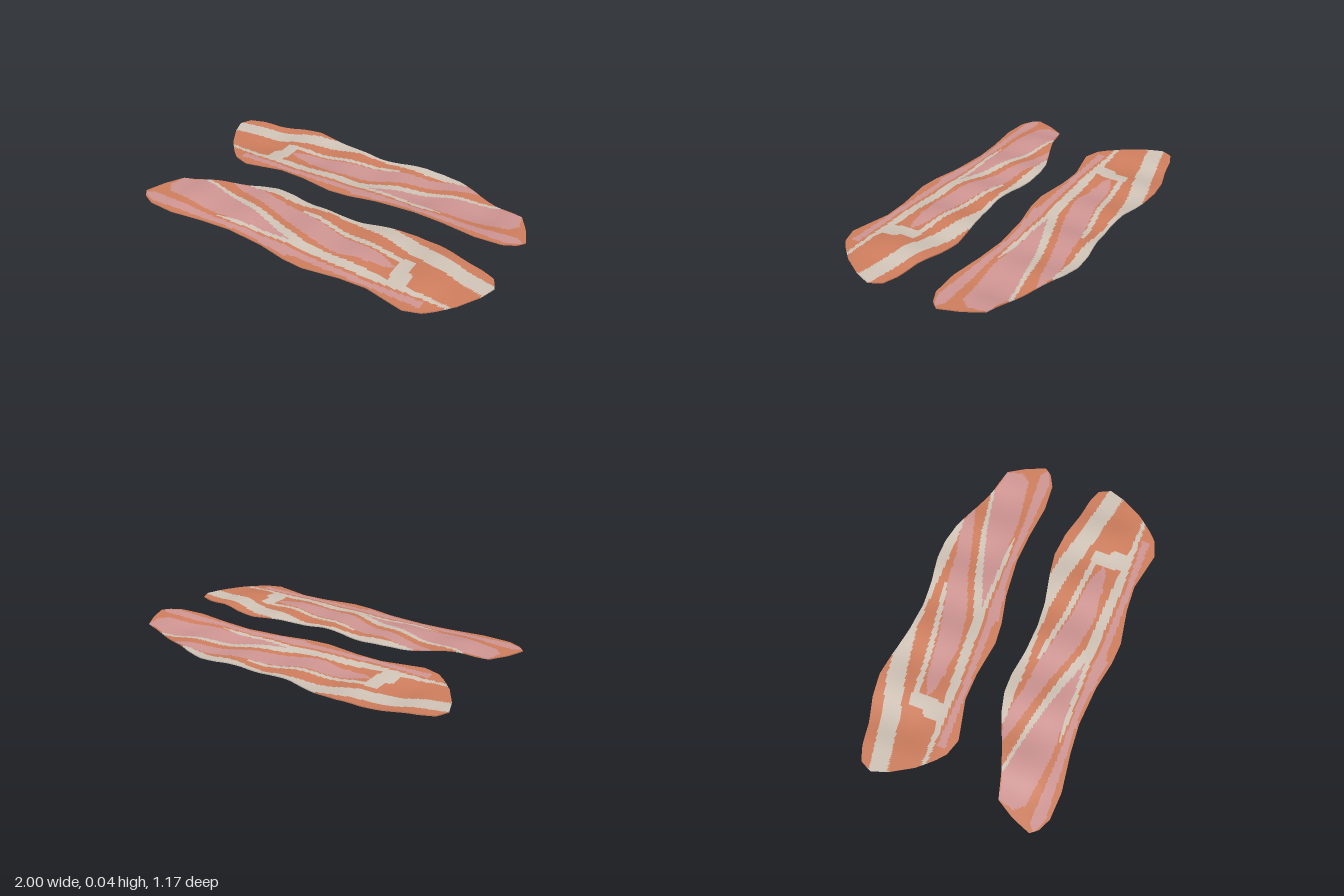
import * as THREE from 'three';

const NX = 180, NZ = 48, THICK = 0.006;

// Edges of one strip as [x, z] points from left tip to right tip
const backEdge = [[-1, -.42], [-.97, -.485], [-.89, -.515], [-.77, -.535], [-.63, -.575], [-.5, -.59], [-.38, -.575],
  [-.2, -.54], [-.05, -.53], [.1, -.54], [.25, -.565], [.36, -.565], [.47, -.54], [.63, -.475], [.75, -.43],
  [.9, -.39], [.96, -.29], [1, -.185]];
const frontEdge = [[-1, -.42], [-.97, -.33], [-.9, -.21], [-.83, -.13], [-.78, -.085], [-.69, -.055], [-.6, -.075],
  [-.47, -.105], [-.32, -.1], [-.12, -.07], [0, -.08], [.16, -.115], [.38, -.135], [.55, -.125], [.75, -.1],
  [.9, -.11], [.97, -.145], [1, -.185]];

// Fat streaks
const fat = [
  [[-1.05, -.32], [-.98, -.335], [-.67, -.4], [-.4, -.47], [-.2, -.505], [-.02, -.51], [.25, -.505], [.53, -.51],
    [.47, -.56], [.3, -.65], [-.35, -.65], [-.37, -.57], [-.5, -.55], [-.67, -.5], [-.85, -.46], [-1.05, -.42]],
  [[-.6, -.38], [-.4, -.395], [-.18, -.42], [.12, -.475], [.12, -.45], [-.18, -.39], [-.52, -.35], [-.53, -.2],
    [-.63, -.2], [-.63, -.28], [-.6, -.3]],
  [[-.92, -.185], [-.62, -.2], [-.45, -.215], [-.02, -.24], [.2, -.32], [.45, -.385], [.79, -.44], [.79, -.425],
    [.5, -.365], [.25, -.29], [.05, -.215], [.3, -.215], [.55, -.2], [.4, -.19], [.05, -.19], [-.4, -.165], [-.92, -.165]],
];
// Pink lean patches
const lean = [
  [[-.53, -.3], [-.42, -.35], [-.18, -.38], [.12, -.45], [.3, -.475], [.5, -.52], [.62, -.48], [.45, -.43],
    [.2, -.36], [0, -.285], [-.2, -.25], [-.45, -.27]],
  [[.02, -.22], [.25, -.29], [.5, -.37], [.75, -.42], [.9, -.39], [.92, -.3], [.88, -.25], [.6, -.21], [.3, -.215], [.05, -.2]],
  [[0, -.17], [.3, -.18], [.55, -.18], [.95, -.2], [.99, -.17], [.95, -.145], [.9, -.13], [.6, -.14], [.3, -.15], [0, -.1]],
  [[-.76, -.15], [-.45, -.145], [0, -.165], [0, -.12], [-.45, -.115], [-.76, -.105]],
];

const { smoothstep, lerp } = THREE.MathUtils;

// Piecewise linear z of an edge at x
function edgeAt(edge, x) {
  let k = 1;
  while (k < edge.length - 1 && edge[k][0] < x) k++;
  const [x0, z0] = edge[k - 1], [x1, z1] = edge[k];
  return lerp(z0, z1, (x - x0) / (x1 - x0));
}

function inside(poly, x, z) {
  let hit = false;
  poly.forEach(([x1, z1], i) => {
    const [x0, z0] = poly[(i + poly.length - 1) % poly.length];
    if ((z1 > z) !== (z0 > z) && x < (x0 - x1) * (z - z1) / (z0 - z1) + x1) hit = !hit;
  });
  return hit;
}

// Material index at a point: 0 meat, 1 lean, 2 fat
function tint(x, z) {
  if (fat.some((p) => inside(p, x, z))) return 2;
  return lean.some((p) => inside(p, x, z)) ? 1 : 0;
}

// Gentle cooked ripple, flat along the front edge and at the tips
function sag(x, z) {
  const across = smoothstep(-z, .1, .32) * (1 - .4 * smoothstep(-z, .48, .6));
  const along = smoothstep(1 - Math.abs(x), 0, .25);
  return .022 * across * along * (.68 + .32 * Math.cos(x * Math.PI * 2 / .35));
}

function stripGeometry() {
  const pos = [], faces = [[], [], []];
  const quad = (m, a, b, c, d) => faces[m].push(a, b, c, c, b, d);
  const point = (i, j, side) => {
    const x = -1 + 2 * i / NX;
    const z = lerp(edgeAt(backEdge, x), edgeAt(frontEdge, x), j / NZ);
    return [x, .025 - sag(x, z) + side * THICK / 2, z];
  };
  const cellTint = (i, j) => {
    const a = point(i, j, 0), b = point(i + 1, j + 1, 0);
    return tint((a[0] + b[0]) / 2, (a[2] + b[2]) / 2);
  };

  // Upper and lower skins
  for (const side of [1, -1]) {
    const base = pos.length / 3;
    for (let i = 0; i <= NX; i++) for (let j = 0; j <= NZ; j++) pos.push(...point(i, j, side));
    for (let i = 0; i < NX; i++) for (let j = 0; j < NZ; j++) {
      const a = base + i * (NZ + 1) + j, c = a + 1, b = a + NZ + 1, d = b + 1;
      if (side > 0) quad(cellTint(i, j), a, c, b, d);
      else quad(cellTint(i, j), a, b, c, d);
    }
  }
  // Thin rim along both edges
  for (const j of [0, NZ]) {
    const base = pos.length / 3;
    for (let i = 0; i <= NX; i++) pos.push(...point(i, j, 1), ...point(i, j, -1));
    for (let i = 0; i < NX; i++) {
      const a = base + i * 2, m = cellTint(i, j ? NZ - 1 : 0);
      if (j) quad(m, a, a + 1, a + 2, a + 3);
      else quad(m, a, a + 2, a + 1, a + 3);
    }
  }

  const geo = new THREE.BufferGeometry();
  geo.setAttribute('position', new THREE.Float32BufferAttribute(pos, 3));
  geo.setIndex(faces.flat());
  let start = 0;
  faces.forEach((f, m) => { geo.addGroup(start, f.length, m); start += f.length; });
  geo.computeVertexNormals();
  return geo;
}

export function createModel() {
  const material = (name, color) => {
    const m = new THREE.MeshStandardMaterial({ color });
    m.name = name;
    return m;
  };
  const materials = [material('meat', 0xd07f5e), material('lean', 0xd09693), material('fat', 0xd2c5b8)];
  const geometry = stripGeometry();

  const backStrip = new THREE.Mesh(geometry, materials);
  backStrip.name = 'backStrip';

  // Second strip is the same slice turned over
  const frontStrip = new THREE.Mesh(geometry, materials);
  frontStrip.name = 'frontStrip';
  frontStrip.rotation.z = Math.PI;
  frontStrip.position.set(0, .04, .64);

  const model = new THREE.Group();
  model.name = 'baconStrips';
  model.add(backStrip, frontStrip);
  return model;
}
